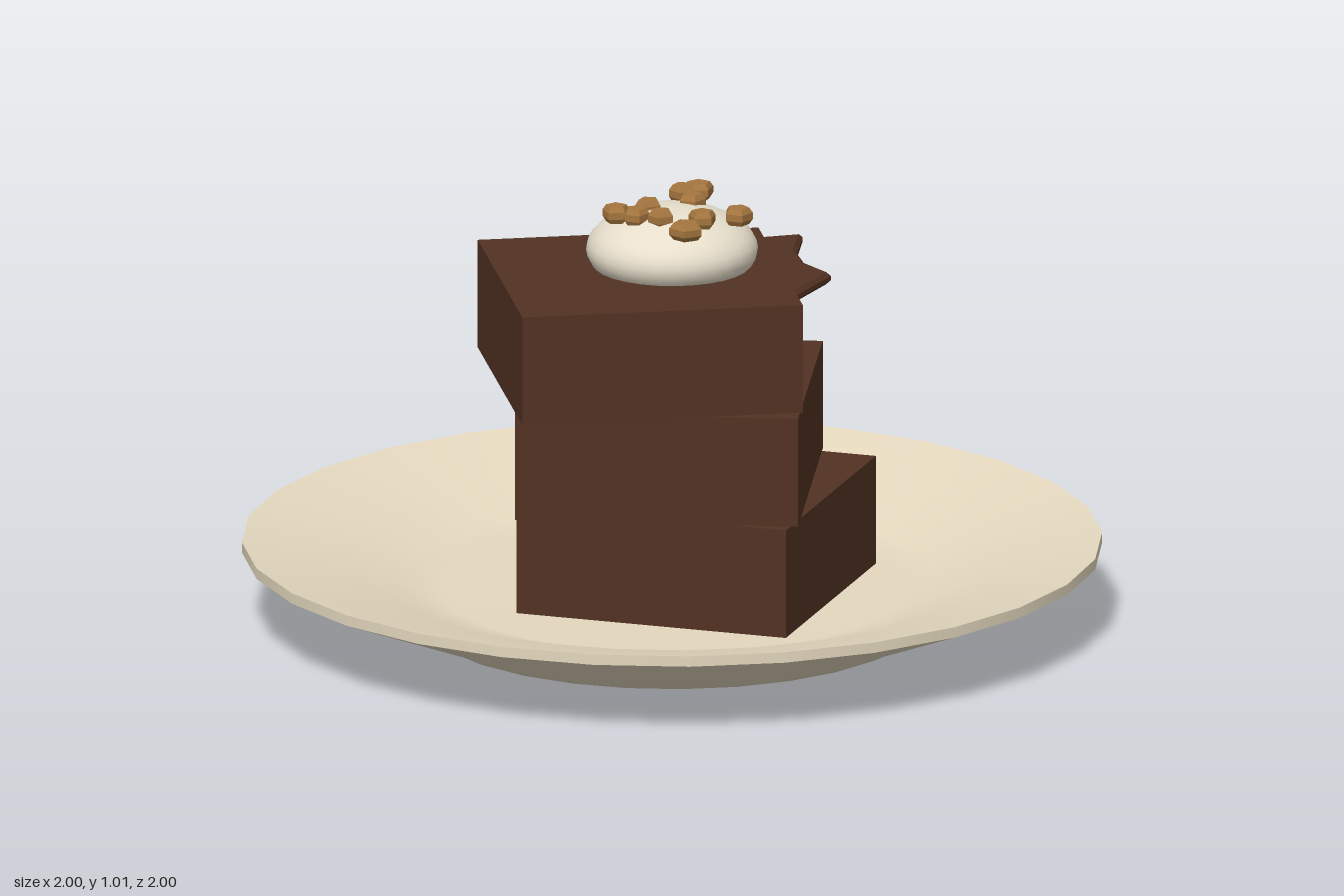
import * as THREE from 'three';

const material = (name, color, extra = {}) =>
  Object.assign(new THREE.MeshStandardMaterial({ color, ...extra }), { name });

export function createModel() {
  const group = new THREE.Group();
  const ceramic = material('cream ceramic', 0xe4d8be, { side: THREE.DoubleSide });
  const chocolate = material('chocolate brown', 0x523222, { flatShading: true });
  const cream = material('whipped cream', 0xe9e0cd);
  const nut = material('nut brown', 0xa5763f, { flatShading: true });

  const add = (parent, name, geometry, mat, x = 0, y = 0, z = 0) => {
    const mesh = new THREE.Mesh(geometry, mat);
    mesh.name = name;
    mesh.position.set(x, y, z);
    parent.add(mesh);
    return mesh;
  };
  const lathe = (points, segments) =>
    new THREE.LatheGeometry(points.map(([r, y]) => new THREE.Vector2(r, y)), segments);

  // Plate: separate surfaces keep the rim edges sharp
  const plate = new THREE.Group();
  plate.name = 'plate';
  group.add(plate);
  add(plate, 'plateUnderside', lathe([[0, 0], [0.58, 0], [0.64, 0.03], [1, 0.175]], 28), ceramic);
  add(plate, 'plateRim', lathe([[1, 0.175], [1, 0.2]], 28), ceramic);
  add(plate, 'plateInside',
    lathe([[1, 0.2], [0.74, 0.14], [0.63, 0.095], [0.54, 0.08], [0, 0.08]], 28), ceramic);

  // Three twisted square slabs: centre x, centre z, turn
  [[0.057, 0, -0.139], [0, 0.04, 0.096], [-0.06, 0.08, 0.341]].forEach(([x, z, turn], i) => {
    const slab = add(group, 'brownie' + (i + 1), new THREE.BoxGeometry(0.66, 0.26, 0.66),
      chocolate, x, 0.21 + i * 0.26, z);
    slab.rotation.y = turn;
  });

  // Jagged sauce pool poking out of the top slab, outline given as x, z
  const outline = [[0.36, -0.02], [0.31, 0.16], [0.2, 0.2], [0.08, 0.3], [-0.08, 0.22],
    [-0.24, 0.24], [-0.24, 0.06], [-0.33, -0.06], [-0.24, -0.18], [-0.2, -0.315],
    [0, -0.27], [0.12, -0.26], [0.24, -0.32], [0.25, -0.19], [0.29, -0.09]];
  const shape = new THREE.Shape(outline.map(([x, z]) => new THREE.Vector2(x, -z)));
  const sauceGeometry = new THREE.ExtrudeGeometry(shape, {
    depth: 0.01, bevelEnabled: true, bevelSegments: 1,
    bevelSize: 0.01, bevelThickness: 0.01, steps: 1,
  });
  sauceGeometry.rotateX(-Math.PI / 2);
  add(group, 'chocolateSauce', sauceGeometry, chocolate, 0, 0.835, 0);

  // Scoop of cream
  const scoop = add(group, 'creamScoop', new THREE.SphereGeometry(0.2, 28, 18), cream, 0, 0.9, 0);
  scoop.scale.y = 0.5;

  // Five-sided nut pieces: x, z, radius
  const nuts = new THREE.Group();
  nuts.name = 'nuts';
  group.add(nuts);
  const nutGeometry = lathe([[0, -0.02], [0.75, -0.02], [1, -0.008], [1, 0.008], [0.75, 0.02], [0, 0.02]], 5);
  [[0, -0.135, 0.032], [0.033, -0.162, 0.036], [0.035, -0.065, 0.033], [-0.055, 0, 0.031],
    [-0.12, 0.063, 0.033], [-0.07, 0.078, 0.031], [-0.01, 0.083, 0.031], [0.085, 0.073, 0.033],
    [0.162, 0.03, 0.034], [0.066, 0.176, 0.04]].forEach(([x, z, r], i) => {
    const piece = add(nuts, 'nut' + (i + 1), nutGeometry, nut, x, 0.995, z);
    piece.scale.set(r, 1, r);
    piece.rotation.y = i * 2.1;
  });

  return group;
}
